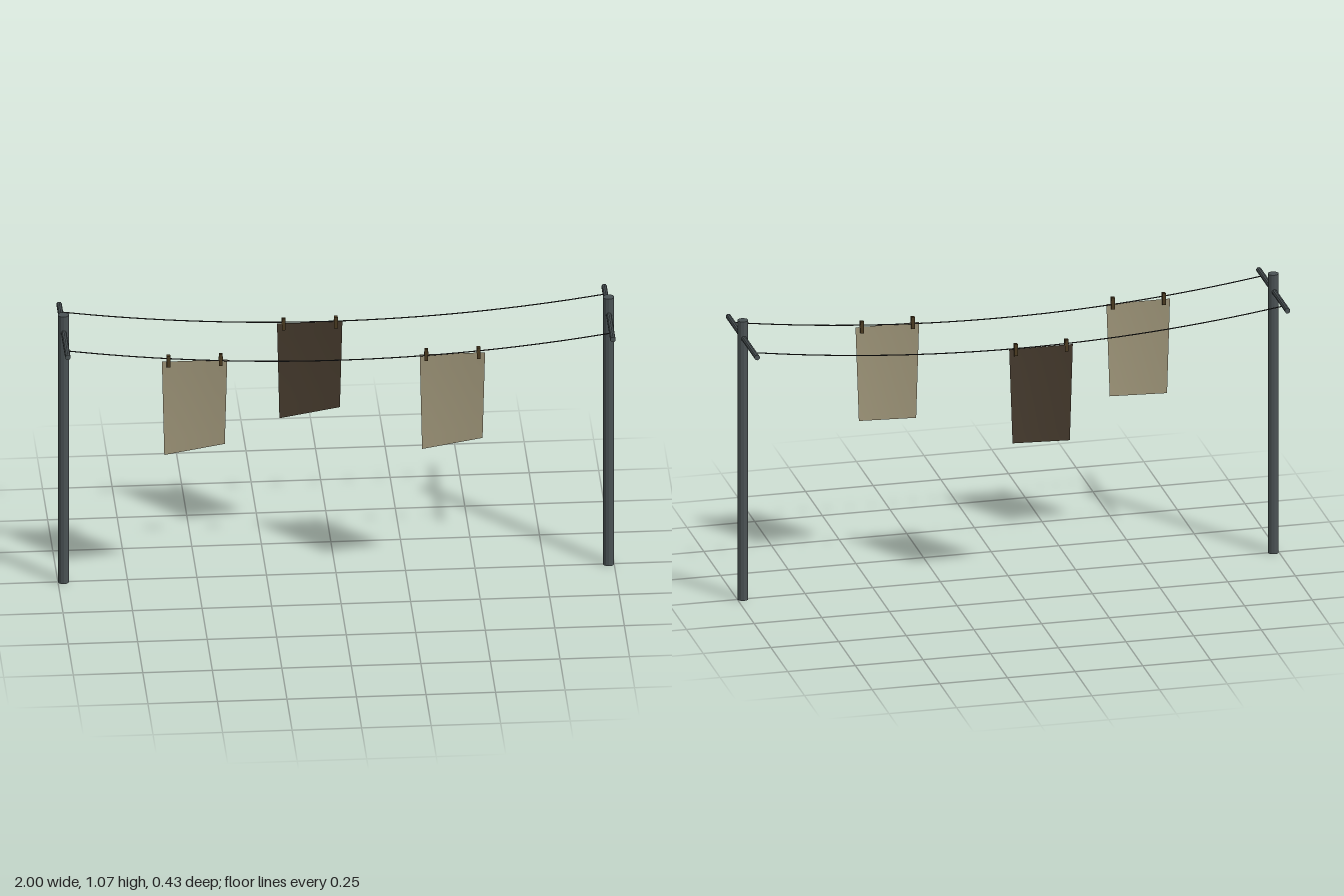
import * as THREE from 'three';

const mat = (name, color, extra = {}) => Object.assign(new THREE.MeshStandardMaterial({ color, ...extra }), { name });

export function createModel() {
  const group = new THREE.Group();
  const metal = mat('dark grey metal', 0x4a5254, { flatShading: true });
  const cordMat = mat('black cord', 0x1c1c1c);
  const linen = mat('beige linen', 0x9c9377, { side: THREE.DoubleSide });
  const brown = mat('dark brown cloth', 0x43382b, { side: THREE.DoubleSide });
  const wood = mat('peg wood', 0x4a3a20);

  const add = (name, geometry, material, x = 0, y = 0, z = 0, parent = group) => {
    const mesh = new THREE.Mesh(geometry, material);
    mesh.name = name;
    mesh.position.set(x, y, z);
    parent.add(mesh);
    return mesh;
  };

  const lineZ = 0.157;
  const lineY = (x) => 0.93 + 0.073 * (x / 0.98) ** 2;

  // posts with crossbars
  for (const side of [-1, 1]) {
    add('post', new THREE.CylinderGeometry(0.02, 0.02, 1.07, 12), metal, side * 0.98, 0.535, 0);
    add('crossbar', new THREE.CylinderGeometry(0.01, 0.01, 0.43, 10).rotateX(Math.PI / 2), metal, side * 0.98, 1.005, 0);
  }

  // sagging lines
  for (const side of [-1, 1]) {
    const points = [];
    for (let i = 0; i <= 16; i++) {
      const x = -0.98 + (1.96 * i) / 16;
      points.push(new THREE.Vector3(x, lineY(x), side * lineZ));
    }
    add('line', new THREE.TubeGeometry(new THREE.CatmullRomCurve3(points), 32, 0.002, 6), cordMat);
  }

  // cloth: straight at the top, narrowing and twisting towards a slanted hem
  const clothGeometry = (top, hem) => {
    const g = new THREE.PlaneGeometry(1, 1, 6, 8);
    const p = g.attributes.position;
    for (let i = 0; i < p.count; i++) {
      const u = p.getX(i), t = 0.5 - p.getY(i);
      const bottom = hem + u * 0.02;
      p.setXYZ(i, u * (0.235 - 0.015 * t), top + (bottom - top) * t, (-0.003 - u * 0.033) * t);
    }
    g.computeVertexNormals();
    return g;
  };

  // peg: two prongs and a spring between them
  const addPeg = (x, y, z) => {
    const peg = new THREE.Group();
    peg.name = 'peg';
    peg.position.set(x, y, z);
    for (const s of [-1, 1]) add('prong', new THREE.BoxGeometry(0.013, 0.045, 0.006), wood, 0, 0, s * 0.004, peg);
    add('spring', new THREE.BoxGeometry(0.015, 0.01, 0.008), wood, 0, 0.004, 0, peg);
    group.add(peg);
  };

  const hang = (x, z, top, hem, pegY, material) => {
    add('cloth', clothGeometry(top, hem), material, x, 0, z);
    for (const s of [-1, 1]) addPeg(x + s * 0.094, pegY, z);
  };
  hang(-0.52, lineZ, 0.947, 0.59, 0.949, linen);
  hang(0.407, lineZ, 0.942, 0.58, 0.942, linen);
  hang(-0.083, -lineZ, 0.928, 0.565, 0.926, brown);

  return group;
}
